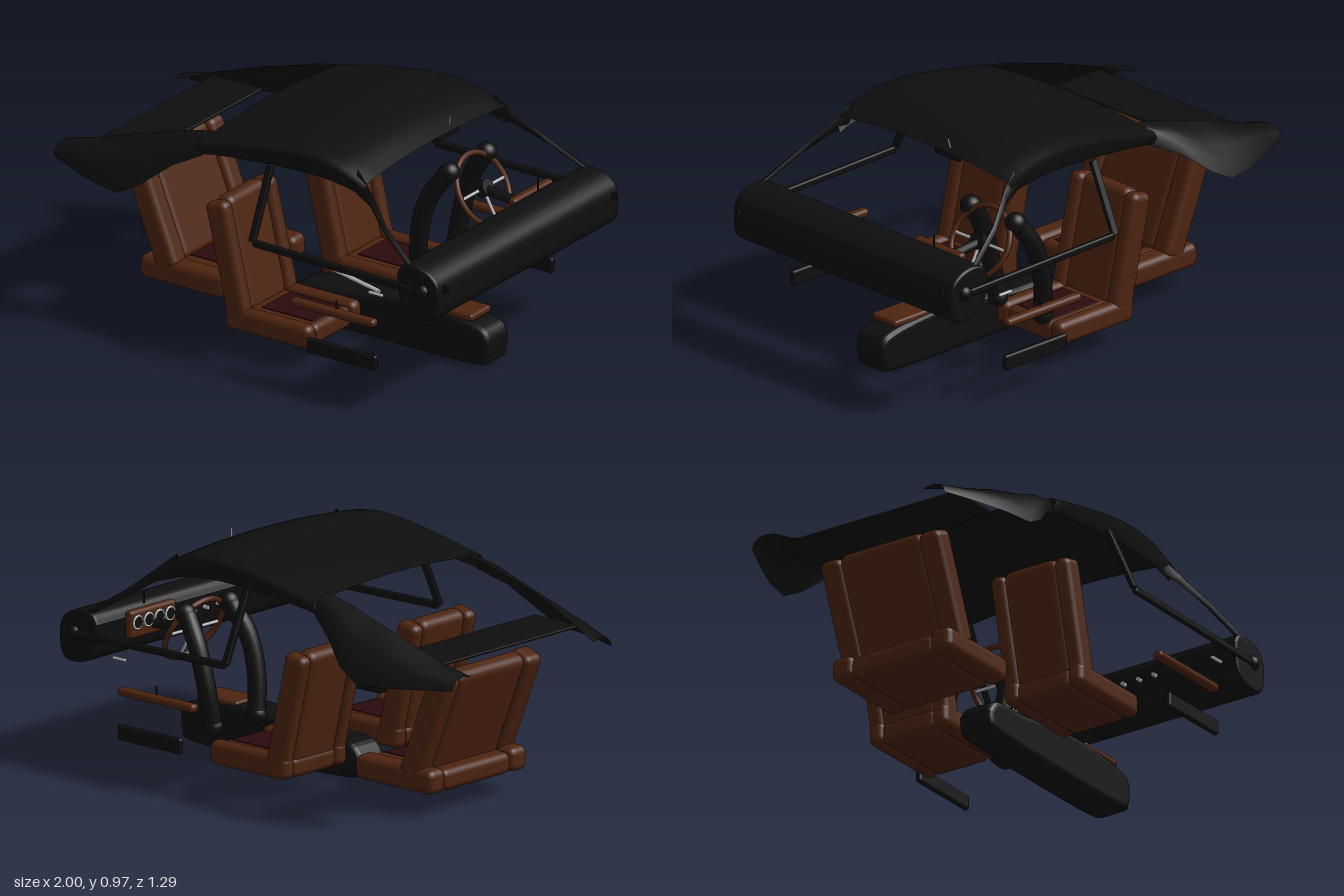
import * as THREE from 'three';
import { RoundedBoxGeometry } from 'three/addons/geometries/RoundedBoxGeometry.js';

const mat = (name, color, side = THREE.DoubleSide) => new THREE.MeshStandardMaterial({ name, color, side });
const V = (x, y, z) => new THREE.Vector3(x, y, z);

export function createModel() {
  const root = new THREE.Group();
  root.name = 'carInterior';
  const black = mat('black trim', 0x0e0e0e);
  const brown = mat('brown leather', 0x4d2410);
  const maroon = mat('maroon cloth', 0x2b0a0e);
  const silver = mat('silver metal', 0xb8b8b8);

  const add = (name, geo, m, parent = root) => {
    const mesh = new THREE.Mesh(geo, m);
    mesh.name = name;
    parent.add(mesh);
    return mesh;
  };
  // Rounded block centred at x, y, z and tilted in the side plane
  const block = (name, m, [w, h, d], [x, y, z], r = 0.01, tilt = 0, parent = root) => {
    const b = add(name, new RoundedBoxGeometry(w, h, d, 3, r), m, parent);
    b.position.set(x, y, z);
    b.rotation.z = tilt;
    return b;
  };
  // Straight rod between two points
  const rod = (name, m, a, b, r, parent = root) => {
    const c = add(name, new THREE.CylinderGeometry(r, r, a.distanceTo(b), 12), m, parent);
    c.position.copy(a).add(b).multiplyScalar(0.5);
    c.quaternion.setFromUnitVectors(V(0, 1, 0), b.clone().sub(a).normalize());
    return c;
  };
  const ball = (name, m, r, [x, y, z], parent = root) => {
    const s = add(name, new THREE.SphereGeometry(r, 20, 14), m, parent);
    s.position.set(x, y, z);
    return s;
  };
  // Smooth skin through rows of points
  const skin = (rows) => {
    const n = rows[0].length, idx = [];
    for (let i = 0; i < rows.length - 1; i++) for (let j = 0; j < n - 1; j++) {
      const a = i * n + j, b = a + n;
      idx.push(a, b, a + 1, b, b + 1, a + 1);
    }
    const g = new THREE.BufferGeometry().setFromPoints(rows.flat());
    g.setIndex(idx);
    g.computeVertexNormals();
    return g;
  };
  // Side profile extruded across the car
  const across = (pts, width, bevel) => {
    const shape = new THREE.Shape();
    shape.moveTo(...pts[0]);
    shape.splineThru(pts.slice(1).concat([pts[0]]).map((p) => new THREE.Vector2(...p)));
    const g = new THREE.ExtrudeGeometry(shape, {
      depth: width - 2 * bevel, bevelSize: bevel, bevelOffset: -bevel, bevelThickness: bevel,
      bevelSegments: 4, curveSegments: 5,
    });
    return g.translate(0, 0, bevel - width / 2);
  };

  // Headliner: crowned top with turned-down sides
  const roofTop = new THREE.SplineCurve([[-0.28, 0.89], [0, 0.945], [0.23, 0.972], [0.4, 0.955], [0.53, 0.905]]
    .map((p) => new THREE.Vector2(...p)));
  const roofRows = roofTop.getPoints(16).map((p, i) => {
    const u = i / 8 - 1, low = 0.848 - 0.045 * u * u, row = [];
    row.push(V(p.x, low, -0.475), V(p.x, p.y - 0.05, -0.5));
    for (let j = -6; j <= 6; j++) row.push(V(p.x, p.y - 0.03 * (j / 6) ** 2, j * 0.081));
    row.push(V(p.x, p.y - 0.05, 0.5), V(p.x, low, 0.475));
    return row;
  });
  add('headliner', skin(roofRows), black);
  block('rearViewMirror', black, [0.025, 0.045, 0.145], [0.5, 0.888, -0.115], 0.012);
  rod('mirrorStem', silver, V(0.5, 0.9, -0.13), V(0.51, 0.95, -0.122), 0.004);

  for (const s of [-1, 1]) {
    // Rear roof pillar: x, inner y, inner z, outer y, outer z
    const pillar = [[-1, 0.66, 0.36, 0.62, 0.47], [-0.86, 0.705, 0.39, 0.613, 0.53], [-0.72, 0.755, 0.41, 0.605, 0.58],
      [-0.6, 0.797, 0.412, 0.602, 0.6], [-0.5, 0.825, 0.412, 0.655, 0.585], [-0.38, 0.86, 0.405, 0.75, 0.53],
      [-0.27, 0.88, 0.4, 0.802, 0.48]];
    add('rearPillar', skin(pillar.map(([x, yi, zi, yo, zo]) => [0, 0.25, 0.5, 0.75, 1].map((t) => {
      const bulge = 0.09 * t * (1 - t);
      return V(x, yi + (yo - yi) * t + bulge, s * (zi + (zo - zi) * t + bulge));
    }))), black);

    // Windscreen pillar, tapering towards the dashboard
    const path = [[0.48, 0.87, 0.48, 0.05], [0.56, 0.825, 0.505, 0.028], [0.68, 0.735, 0.565, 0.016], [0.86, 0.62, 0.62, 0.011]];
    add('windscreenPillar', skin(path.map(([x, y, z, h]) => [
      V(x, y + h, s * (z - 0.01)), V(x, y, s * (z + 0.01)), V(x, y - h, s * z), V(x, y, s * (z - 0.02)), V(x, y + h, s * (z - 0.01)),
    ])), black);

    // Door: window post, sill rail, armrest, handle and pocket
    const door = new THREE.Group();
    door.name = s > 0 ? 'leftDoorTrim' : 'rightDoorTrim';
    root.add(door);
    const post = block('windowPost', black, [0.03, 0.31, 0.022], [0.077, 0.705, s * 0.565], 0.004, 0, door);
    post.rotation.x = -s * 0.42;
    block('sillRail', black, [0.82, 0.03, 0.022], [0.49, 0.553, s * 0.625], 0.008, -0.018, door);
    block('armrest', brown, [0.41, 0.035, 0.045], [0.46, 0.348, s * 0.608], 0.016, 0, door);
    rod('lockPin', black, V(0.47, 0.36, s * 0.605), V(0.47, 0.4, s * 0.605), 0.004, door);
    block('doorHandle', silver, [0.07, 0.012, 0.015], [0.665, 0.478, s * 0.61], 0.005, 0, door);
    block('doorPocket', black, [0.34, 0.065, 0.025], [0.5, 0.178, s * 0.608], 0.01, 0, door);
    ball('dashEndVent', black, 0.032, [0.9, 0.548, s * 0.615], door);
    block('dashCorner', black, [0.03, 0.03, 0.008], [0.985, 0.565, s * 0.58], 0.003, 0.3, door);
  }
  block('parcelShelf', black, [0.24, 0.012, 0.86], [-0.74, 0.685, 0], 0.004);

  // Seats: centre panel between two raised bolsters
  const seat = (name, x, z, width, bolster, backTilt, back, length) => {
    const g = new THREE.Group();
    g.name = name;
    g.position.set(x, 0, z);
    root.add(g);
    const mid = width - 2 * bolster;
    block('cushion', brown, [0.4, 0.09, mid + 0.02], [0, 0.142, 0], 0.03, 0, g);
    block('cushionInsert', maroon, [0.25, 0.008, mid * 0.8], [0.04, 0.187, 0], 0.003, 0, g);
    block('backrest', brown, [0.085, length, mid + 0.02], [back[0], back[1], 0], 0.035, backTilt, g);
    for (const s of [-1, 1]) {
      const bz = s * (width - bolster) / 2;
      block('cushionBolster', brown, [0.415, 0.1, bolster], [0, 0.149, bz], 0.03, 0, g);
      block('backBolster', brown, [0.105, length, bolster], [back[0] + 0.005, back[1] - 0.005, bz], 0.03, backTilt, g);
    }
  };
  seat('frontLeftSeat', 0.065, 0.33, 0.38, 0.07, 0.23, [-0.205, 0.395], 0.49);
  seat('frontRightSeat', 0.065, -0.33, 0.38, 0.07, 0.23, [-0.205, 0.395], 0.49);
  seat('rearSeat', -0.51, 0, 0.58, 0.1, 0.38, [-0.165, 0.385], 0.475);

  // Centre tunnel with gear lever and handbrake
  add('centreTunnel', across([[-0.14, 0.1], [-0.12, 0.03], [0, 0.012], [0.4, 0.004], [0.77, 0.01], [0.825, 0.05],
    [0.825, 0.14], [0.76, 0.18], [0.55, 0.205], [0.35, 0.2], [0.1, 0.17], [-0.08, 0.16]], 0.16, 0.025), black);
  block('consoleLid', brown, [0.22, 0.03, 0.14], [0.64, 0.202, 0], 0.012);
  rod('gearLever', silver, V(0.52, 0.2, 0), V(0.475, 0.36, 0), 0.006);
  ball('gearKnob', brown, 0.017, [0.475, 0.363, 0]);
  rod('handbrake', silver, V(0.06, 0.245, 0.052), V(0.29, 0.203, 0.052), 0.009);

  // Dashboard
  add('dashboard', across([[0.775, 0.6], [0.8, 0.636], [0.86, 0.648], [0.93, 0.628], [0.972, 0.58], [0.975, 0.48],
    [0.94, 0.43], [0.86, 0.432], [0.8, 0.465], [0.78, 0.53]], 1.25, 0.012), black);
  block('gaugePanel', brown, [0.04, 0.115, 0.27], [0.755, 0.572, -0.33], 0.015);
  for (let i = 0; i < 4; i++) {
    const z = -0.425 + i * 0.063;
    const rim = add('gaugeRim', new THREE.TorusGeometry(0.026, 0.005, 8, 24), silver);
    rim.position.set(0.734, 0.58, z);
    rim.rotation.y = Math.PI / 2;
    rod('gaugeFace', black, V(0.73, 0.58, z), V(0.74, 0.58, z), 0.025);
  }
  for (let i = 0; i < 6; i++) rod('dashKnob', silver, V(0.755, 0.55, -0.14 + i * 0.075), V(0.79, 0.55, -0.14 + i * 0.075), 0.009);
  rod('dashPin', black, V(0.79, 0.63, -0.33), V(0.79, 0.68, -0.33), 0.004);

  // Steering wheel, tilted towards the driver
  const wheel = new THREE.Group();
  wheel.name = 'steeringWheel';
  const axis = V(0.87, 0.49, 0).normalize(), side = V(0, 0, -1);
  wheel.quaternion.setFromRotationMatrix(new THREE.Matrix4().makeBasis(side, axis.clone().cross(side), axis));
  wheel.position.set(0.527, 0.575, -0.325);
  root.add(wheel);
  add('rim', new THREE.TorusGeometry(0.15, 0.012, 12, 48), brown, wheel);
  for (const a of [0, Math.PI, -Math.PI / 2]) {
    rod('spoke', silver, V(0, 0, 0), V(0.148 * Math.cos(a), 0.148 * Math.sin(a), 0), 0.007, wheel);
  }
  rod('hub', black, V(0, 0, -0.015), V(0, 0, 0.03), 0.035, wheel);
  rod('steeringColumn', black, V(0.53, 0.575, -0.325), V(0.8, 0.55, -0.325), 0.02);

  // Curved padded supports reaching up to the wheel
  for (const [z, lean] of [[-0.195, 0.02], [-0.45, -0.02]]) {
    const curve = new THREE.CatmullRomCurve3([V(0.305, 0.235, z), V(0.325, 0.4, z + lean), V(0.37, 0.55, z + lean), V(0.445, 0.665, z)]);
    add('support', new THREE.TubeGeometry(curve, 24, 0.038, 16), black);
    ball('supportFoot', black, 0.041, [0.305, 0.235, z]);
    ball('supportGrip', black, 0.043, [0.455, 0.672, z]);
  }
  return root;
}
